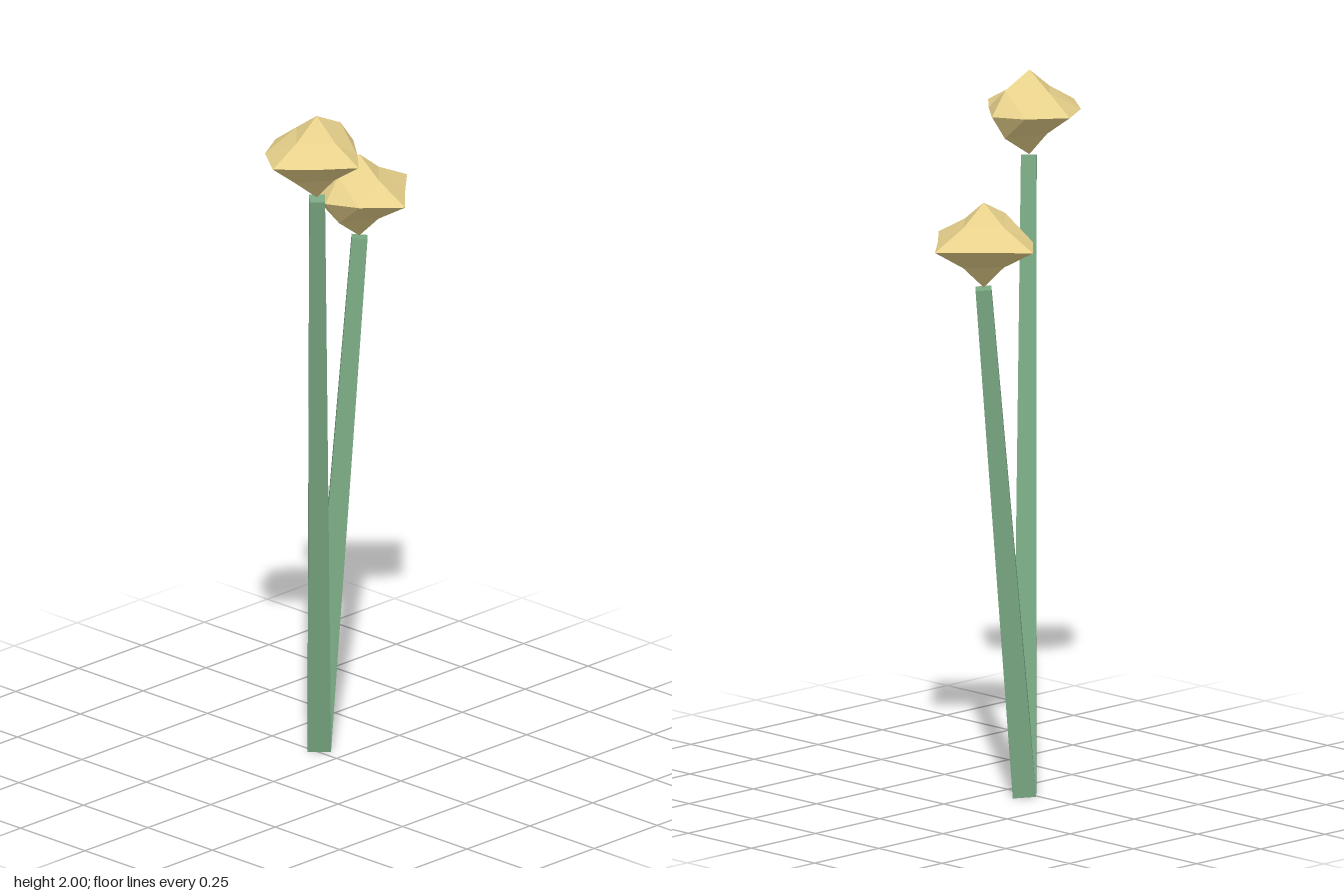
import * as THREE from 'three';

const stemMat = new THREE.MeshStandardMaterial({ color: 0x7aa982, flatShading: true });
const headMat = new THREE.MeshStandardMaterial({ color: 0xe6d08a, flatShading: true });

// Four-sided tapered stem between two points
function makeStem(name, base, top) {
  const dir = top.clone().sub(base);
  const geo = new THREE.CylinderGeometry(0.031, 0.046, dir.length(), 4);
  const stem = new THREE.Mesh(geo, stemMat);
  stem.name = name;
  stem.position.copy(base).add(top).multiplyScalar(0.5);
  stem.quaternion.setFromUnitVectors(new THREE.Vector3(0, 1, 0), dir.normalize());
  return stem;
}

// Faceted flower head: a once-divided octahedron whose tips and edge midpoints
// are moved to the listed offsets from the head's centre
function makeHead(name, center, points) {
  const moved = new Map();
  for (const p of points) moved.set(p.map((v) => Math.sign(v)).join(), p);
  const geo = new THREE.OctahedronGeometry(1, 1);
  const pos = geo.attributes.position;
  const sign = (v) => (Math.abs(v) < 0.1 ? 0 : Math.sign(v));
  for (let i = 0; i < pos.count; i++) {
    const key = [pos.getX(i), pos.getY(i), pos.getZ(i)].map(sign).join();
    pos.setXYZ(i, ...moved.get(key));
  }
  geo.computeVertexNormals();
  const head = new THREE.Mesh(geo, headMat);
  head.name = name;
  head.position.copy(center);
  return head;
}

export function createModel() {
  const group = new THREE.Group();
  group.name = 'flowerPair';
  const base = new THREE.Vector3(0.025, 0.006, -0.091);

  // Tall flower
  group.add(makeStem('tallStem', base, new THREE.Vector3(-0.205, 1.755, 0.125)));
  group.add(makeHead('tallHead', new THREE.Vector3(-0.205, 1.888, 0.123), [
    [0, 0.112, 0], [0, -0.13, 0], [0.146, 0, 0], [-0.174, 0, 0], [0, 0, 0.163], [0, 0, -0.16],
    [0.095, 0.067, 0], [-0.08, 0.052, 0], [0.095, -0.07, 0], [-0.085, -0.065, 0],
    [0, 0.05, 0.072], [0, 0.058, -0.078], [0, -0.06, 0.07], [0, -0.06, -0.07],
    [0.07, 0, 0.09], [-0.09, 0, 0.09], [0.1, 0, -0.085], [-0.1, 0, -0.103],
  ]));

  // Short flower
  group.add(makeStem('shortStem', base, new THREE.Vector3(0.185, 1.477, -0.091)));
  group.add(makeHead('shortHead', new THREE.Vector3(0.185, 1.61, -0.092), [
    [0, 0.112, 0], [0, -0.13, 0], [0.19, 0, 0], [-0.134, 0, 0], [0, 0, 0.178], [0, 0, -0.195],
    [0.078, 0.053, 0], [-0.085, 0.068, 0], [0.08, -0.062, 0], [-0.08, -0.072, 0],
    [0, 0.054, 0.075], [0, 0.054, -0.08], [0, -0.06, 0.075], [0, -0.06, -0.08],
    [0.09, 0, 0.09], [-0.092, 0, 0.09], [0.09, 0, -0.097], [-0.095, 0, -0.098],
  ]));
  return group;
}
